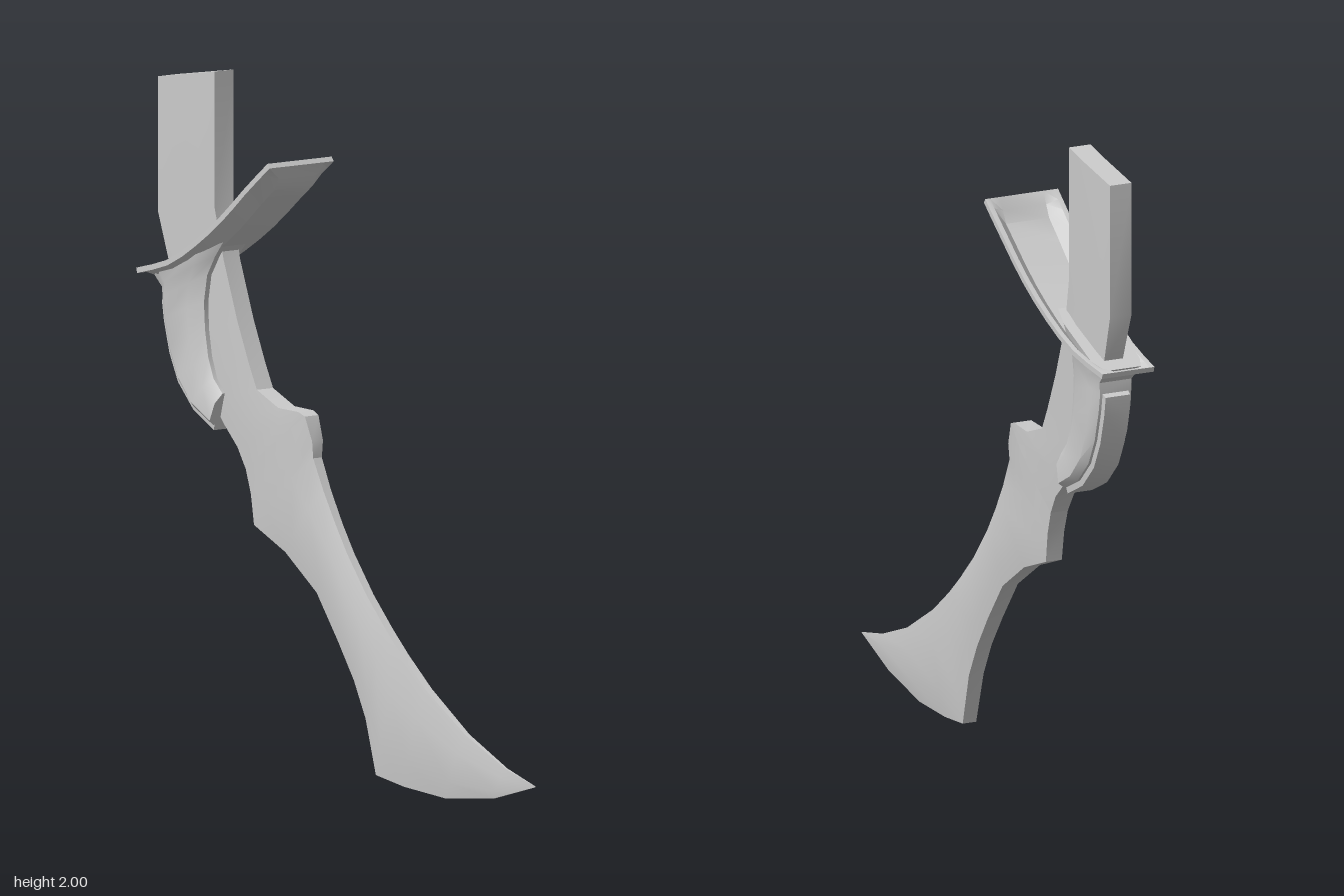
import * as THREE from 'three';
import { toCreasedNormals } from 'three/addons/utils/BufferGeometryUtils.js';

const material = new THREE.MeshStandardMaterial({ color: 0xcccccc, side: THREE.DoubleSide });

// Skin a row of equal-length rings of [x, y, z] points and close both ends.
function loft(name, rings, crease = 0.5) {
  const n = rings[0].length, faces = [];
  const pos = rings.flat();
  for (let i = 0; i < rings.length - 1; i++) {
    for (let j = 0; j < n; j++) {
      const a = i * n + j, b = i * n + (j + 1) % n;
      faces.push([a, b, b + n], [a, b + n, a + n]);
    }
  }
  const last = (rings.length - 1) * n;
  for (let j = 1; j < n - 1; j++) faces.push([0, j + 1, j], [last, last + j, last + j + 1]);

  // the sign of the volume tells which way the faces wind
  const v = pos.map(p => new THREE.Vector3(...p));
  const volume = faces.reduce((s, [a, b, c]) => s + v[a].dot(v[b].clone().cross(v[c])), 0);
  if (volume < 0) faces.forEach(f => f.reverse());

  const geometry = new THREE.BufferGeometry();
  geometry.setAttribute('position', new THREE.Float32BufferAttribute(pos.flat(), 3));
  geometry.setIndex(faces.flat());
  const mesh = new THREE.Mesh(toCreasedNormals(geometry, crease), material);
  mesh.name = name;
  return mesh;
}

// The blade leans slightly to the right as it runs forward.
const lean = z => Math.min(-0.018, -0.062 - 0.063 * z);

// Ring between a front and a back edge point, with half-widths at fractions across.
function slice(fz, fy, bz, by, across, halves, centre) {
  const side = s => across.map((u, i) => {
    const z = fz + (bz - fz) * u, y = fy + (by - fy) * u;
    return [centre(z) + s * halves[i], y, z];
  });
  return [...side(1), ...side(-1).reverse()];
}

// Front z, y; back z, y; half-widths at front edge, middle and back edge
const bladeStations = [
  [0.95, 0.09, 0.949, 0.088, 0.001, 0.001, 0.001],
  [0.8, 0.125, 0.74, 0.03, 0.004, 0.009, 0.005],
  [0.6, 0.2, 0.5, 0.002, 0.008, 0.018, 0.011],
  [0.4, 0.31, 0.3, 0.012, 0.012, 0.026, 0.018],
  [0.28, 0.395, 0.16, 0.03, 0.013, 0.03, 0.022],
  [0.2, 0.46, 0.11, 0.19, 0.013, 0.031, 0.024],
  [0.1, 0.55, 0.05, 0.295, 0.013, 0.031, 0.024],
  [0, 0.66, -0.03, 0.4, 0.013, 0.032, 0.025],
  [-0.06, 0.74, -0.14, 0.53, 0.013, 0.032, 0.025],
  [-0.12, 0.83, -0.3, 0.63, 0.014, 0.033, 0.026],
  [-0.17, 0.92, -0.46, 0.69, 0.016, 0.033, 0.026],
  [-0.17, 0.97, -0.475, 0.78, 0.02, 0.033, 0.027],
  [-0.2, 1.04, -0.5, 0.85, 0.025, 0.033, 0.028],
];
const gripStations = [
  bladeStations[bladeStations.length - 1],
  [-0.23, 1.05, -0.54, 0.91, 0.028, 0.033, 0.03],
  [-0.33, 1.05, -0.61, 0.97, 0.03, 0.033, 0.03],
  [-0.44, 1.09, -0.66, 1.02, 0.03, 0.033, 0.03],
  [-0.48, 1.16, -0.73, 1.1, 0.03, 0.033, 0.03],
  [-0.54, 1.28, -0.79, 1.2, 0.03, 0.033, 0.03],
  [-0.61, 1.45, -0.87, 1.4, 0.03, 0.032, 0.03],
  [-0.65, 1.6, -0.92, 1.555, 0.035, 0.035, 0.035],
  [-0.65, 2.0, -0.92, 1.955, 0.035, 0.035, 0.035],
];
const bladeRing = ([fz, fy, bz, by, hf, hm, hb]) =>
  slice(fz, fy, bz, by, [0, 0.3, 0.75, 1], [hf, hm, hm, hb], lean);

// Front z, y; back z, y; width factor
const shellStations = [
  [-0.6, 1.06, -0.635, 0.965, 0.95],
  [-0.64, 1.1, -0.725, 1.01, 1],
  [-0.665, 1.16, -0.795, 1.08, 1],
  [-0.68, 1.24, -0.835, 1.16, 1],
  [-0.685, 1.32, -0.86, 1.25, 1],
  [-0.67, 1.4, -0.87, 1.31, 1],
  [-0.63, 1.46, -0.87, 1.345, 1.05],
  [-0.58, 1.515, -0.92, 1.395, 1.15],
];
const shellRing = ([fz, fy, bz, by, w]) =>
  slice(fz, fy, bz, by, [0, 0.3, 0.85, 1], [0.042, 0.064, 0.068, 0.05].map(h => h * w), () => -0.026);

// Raised strip following the back of the shell
function bandRing([fz, fy, bz, by]) {
  const d = new THREE.Vector2(bz - fz, by - fy).normalize();
  return [[-0.045, -0.03], [-0.04, 0.018], [0.04, 0.018], [0.045, -0.03]]
    .map(([x, o]) => [x - 0.026, by + d.y * o, bz + d.x * o]);
}

// Shallow rimmed dish swept along the curved guard line
function guardRings() {
  const curve = new THREE.CatmullRomCurve3([
    [-0.325, 1.772], [-0.43, 1.69], [-0.55, 1.59], [-0.68, 1.5], [-0.8, 1.435], [-0.945, 1.395],
  ].map(([z, y]) => new THREE.Vector3(0, y, z)));
  return [0, 0.05, 0.1, 0.2, 0.3, 0.4, 0.5, 0.6, 0.7, 0.8, 0.9, 0.95, 1].map(t => {
    const p = curve.getPointAt(t), d = curve.getTangentAt(t);
    const left = -0.115;
    const right = 0.122 - 0.068 * t * t;
    const depth = 0.034 * Math.min(1, t / 0.1, (1 - t) / 0.1);
    const rim = 0.016, inset = 0.048;
    const profile = [
      [left, 0], [left, rim], [left + inset, rim + depth], [right - inset, rim + depth],
      [right, rim], [right, 0], [right - 0.015, 0], [right - inset, depth],
      [left + inset, depth], [left + 0.015, 0],
    ];
    // offsets run down, square to the guard line
    return profile.map(([x, o]) => [x, p.y + d.z * o, p.z - d.y * o]);
  });
}

export function createModel() {
  const model = new THREE.Group();
  model.name = 'curvedBlade';
  model.add(
    loft('blade', bladeStations.map(bladeRing)),
    loft('gripAndTang', gripStations.map(bladeRing)),
    loft('gripShell', shellStations.map(shellRing), 0.7),
    loft('shellBand', shellStations.slice(0, 6).map(bandRing)),
    loft('guard', guardRings()),
  );
  return model;
}
